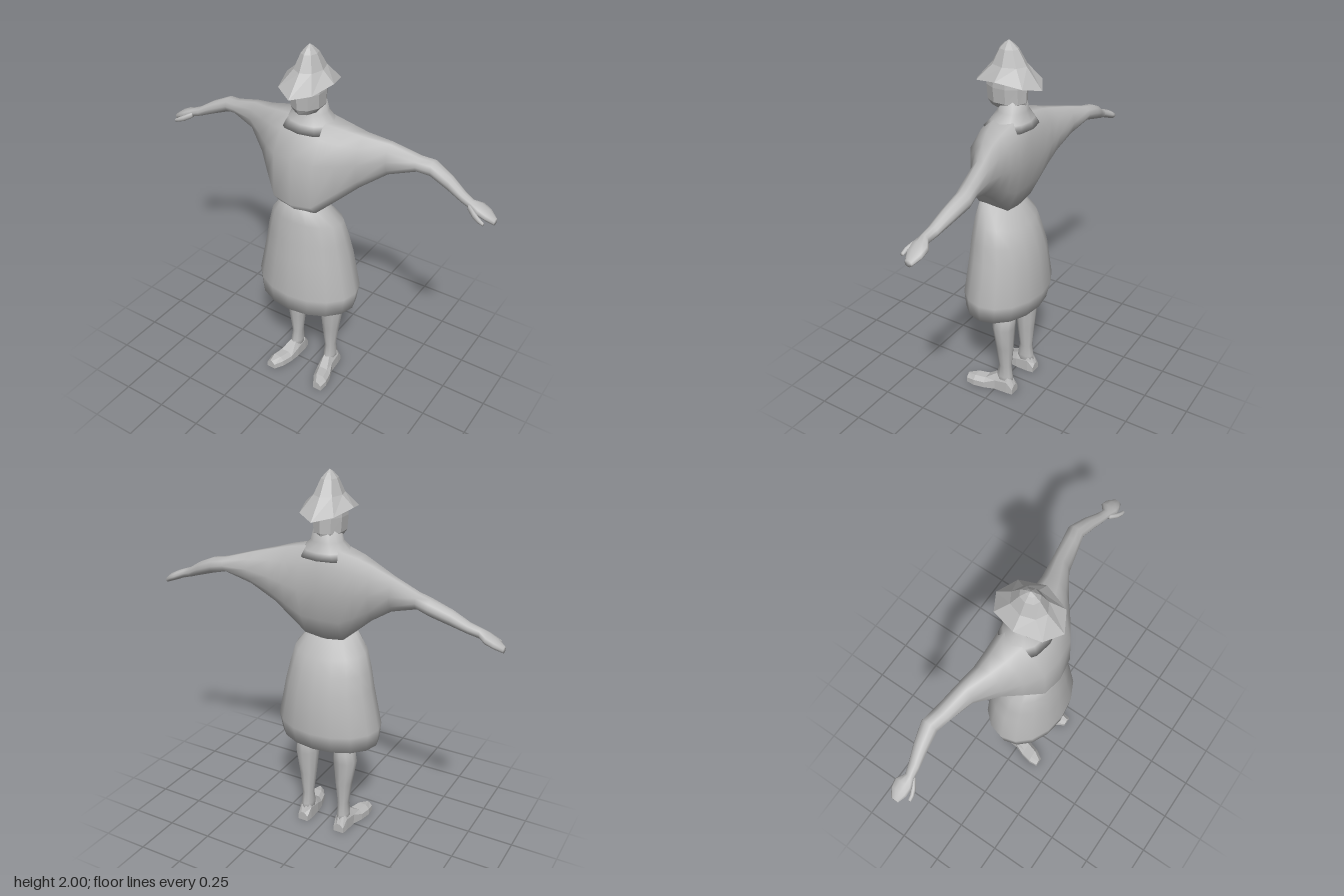
import * as THREE from 'three';

const cloth = new THREE.MeshStandardMaterial({ color: 0xbbbbbb });
cloth.name = 'plain grey';

// Skin a list of rings (equal point counts) and close both ends with fans.
function loft(rings, flat = false, creaseCaps = false) {
  const n = rings[0].length, pos = [], idx = [];
  rings.forEach(r => r.forEach(p => pos.push(...p)));
  for (let i = 0; i < rings.length - 1; i++) {
    for (let j = 0; j < n; j++) {
      const a = i * n + j, b = i * n + (j + 1) % n;
      idx.push(a, b, b + n, a, b + n, a + n);
    }
  }
  [0, rings.length - 1].forEach((r, end) => {
    let base = r * n;
    if (creaseCaps) {
      base = pos.length / 3;
      rings[r].forEach(p => pos.push(...p));
    }
    const c = pos.length / 3;
    pos.push(...[0, 1, 2].map(k => rings[r].reduce((s, p) => s + p[k] / n, 0)));
    for (let j = 0; j < n; j++) {
      const a = base + j, b = base + (j + 1) % n;
      idx.push(...(end ? [a, b, c] : [b, a, c]));
    }
  });
  // Turn the faces outward if the enclosed volume is negative
  const v = i => new THREE.Vector3().fromArray(pos, i * 3);
  let volume = 0;
  for (let i = 0; i < idx.length; i += 3) volume += v(idx[i]).dot(v(idx[i + 1]).cross(v(idx[i + 2])));
  if (volume < 0) idx.reverse();
  let g = new THREE.BufferGeometry();
  g.setAttribute('position', new THREE.Float32BufferAttribute(pos, 3));
  g.setIndex(idx);
  if (flat) g = g.toNonIndexed();
  g.computeVertexNormals();
  return g;
}

// Level ellipse: height, half width, back and front z, centre x, height change to front
function level([y, rx, zb, zf, cx = 0, tilt = 0], n = 16) {
  return Array.from({ length: n }, (_, i) => {
    const a = (i / n) * Math.PI * 2;
    return [cx + rx * Math.sin(a), y + tilt * Math.cos(a), (zb + zf) / 2 + (zf - zb) / 2 * Math.cos(a)];
  });
}

// Side outline of the chest, as z and y
const chest = [[.13, 1.15], [.18, 1.21], [.17, 1.47], [.10, 1.59], [.03, 1.65],
  [-.08, 1.65], [-.13, 1.57], [-.14, 1.42], [-.11, 1.26], [-.06, 1.14]];
const round = chest.map((_, i) => {
  const a = -1.26 + i * Math.PI / 5;
  return [.5 + .5 * Math.cos(a), .5 + .5 * Math.sin(a)];
});

// Upright section across the body: x, bottom, top, back, front, chest blend
function section([x, y0, y1, z0, z1, k = 0]) {
  return chest.map(([z, y], i) => {
    const u = THREE.MathUtils.lerp(round[i][0], (z + .14) / .32, k);
    const w = THREE.MathUtils.lerp(round[i][1], (y - 1.14) / .51, k);
    return [x, y0 + (y1 - y0) * w, z0 + (z1 - z0) * u];
  });
}

export function createModel() {
  const model = new THREE.Group();
  const add = (name, geometry) => {
    const mesh = new THREE.Mesh(geometry, cloth);
    mesh.name = name;
    model.add(mesh);
  };
  const flip = rings => rings.map(r => r.map(([x, y, z]) => [-x, y, z]));

  // Chest, winged sleeves and hands in one skin
  const half = [
    [.11, 1.155, 1.625, -.14, .165, .95],
    [.20, 1.23, 1.61, -.14, .10, .6],
    [.28, 1.30, 1.59, -.14, .035, .25],
    [.40, 1.385, 1.56, -.155, -.045],
    [.54, 1.435, 1.515, -.175, -.08],
    [.61, 1.42, 1.505, -.19, -.10],
    [.71, 1.385, 1.46, -.165, -.09],
    [.79, 1.355, 1.41, -.14, -.08],
    [.84, 1.34, 1.39, -.125, -.075],
    [.88, 1.325, 1.375, -.155, -.06],
    [.92, 1.31, 1.355, -.15, -.065],
    [.96, 1.293, 1.325, -.125, -.085],
  ];
  const mirrored = half.map(([x, ...rest]) => [-x, ...rest]).reverse();
  add('torsoAndArms', loft([...mirrored, [0, 1.14, 1.65, -.14, .18, 1], ...half].map(section)));

  // Skirt, rounded under the hem
  add('skirt', loft([
    [1.165, .125, -.06, .14, 0, .02],
    [1.07, .20, -.13, .16, 0, .02],
    [.97, .227, -.16, .18],
    [.87, .247, -.19, .19],
    [.65, .293, -.213, .215],
    [.55, .28, -.19, .207],
    [.57, .22, -.15, .16],
  ].map(r => level(r))));

  // Neck and collar
  add('neck', loft([
    [1.58, .17, -.14, .11], [1.615, .13, -.125, .08],
    [1.66, .085, -.10, .05], [1.73, .065, -.09, .04],
  ].map(r => level(r, 12))));

  // Faceted head with a blunt jaw
  add('head', loft([
    [1.675, .058, -.09, .095], [1.705, .08, -.10, .112],
    [1.78, .085, -.10, .118], [1.85, .08, -.09, .10],
  ].map(r => level(r, 10)), true));

  // Pointed hat, its brim dipping to the front and back
  const hat = [
    [1.83, .133, -.185, .18, .045], [1.885, .072, -.10, .09, .012],
    [1.96, .04, -.053, .05, 0], [1.985, .018, -.025, .025, 0], [2, .002, -.002, .002, 0],
  ].map(([y, rx, zb, zf, dip]) => level([y, rx, zb, zf], 8).map(([x, h, z]) =>
    [x, h - dip * (z / .18) ** 2 * (dip > .02 ? 1 : 0), z]));
  // Hollow underside
  hat.unshift(level([1.85, .07, -.09, .09], 8));
  add('hat', loft(hat, true));

  // Limbs that come in pairs
  for (const side of ['left', 'right']) {
    const place = rings => side === 'left' ? rings : flip(rings);

    add(side + 'Leg', loft(place([
      [.62, .04, -.08, .02, .11], [.55, .045, -.09, .02, .112],
      [.50, .058, -.11, .022, .116], [.44, .067, -.105, .02, .118],
      [.30, .048, -.095, .005, .113], [.17, .031, -.085, -.01, .112],
      [.10, .034, -.095, .005, .114], [.05, .034, -.10, .01, .114],
    ].map(r => level(r, 10)))));

    // Foot pointing slightly outward: z, inner x, outer x, top
    add(side + 'Foot', loft(place([
      [-.11, .085, .145, .05], [-.075, .08, .15, .12], [0, .08, .155, .10],
      [.06, .088, .178, .06], [.12, .105, .19, .06], [.17, .135, .185, .05],
    ].map(([z, a, b, h]) => [[a, 0, z], [b, 0, z], [b, h * .6, z],
      [b - .02, h, z], [a + .02, h, z], [a, h * .6, z]])), true));

    // Thumb in front of the hand
    add(side + 'Thumb', loft(place([
      [.83, 1.342, 1.375, -.10, -.07], [.87, 1.32, 1.355, -.075, -.045],
      [.90, 1.312, 1.34, -.058, -.036], [.925, 1.308, 1.325, -.052, -.036],
    ].map(section))));
  }
  return model;
}
